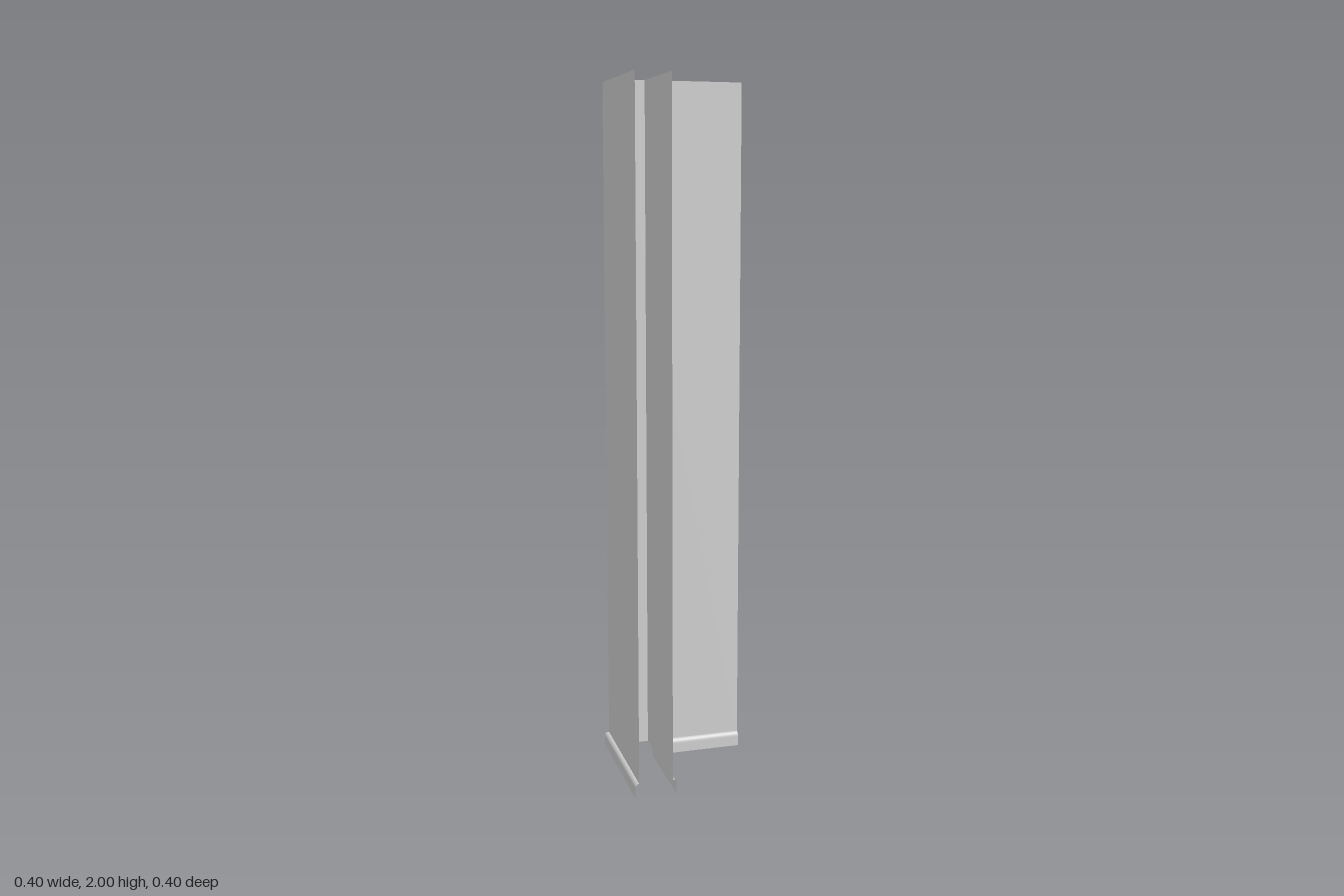
import * as THREE from 'three';

const END = 0.198;      // open ends of both wall runs
const OUTER = -0.187;   // outer wall plane
const INNER = -0.088;   // inner wall plane
const TOP = 2, TRIM = 0.043, DEPTH = 0.011;

const material = new THREE.MeshStandardMaterial({ color: 0xcccccc, side: THREE.DoubleSide });

// Thin upright sheet, facing -z or (alongZ) -x
function wall(name, plane, alongZ) {
  const length = END - OUTER, mid = (END + OUTER) / 2;
  const mesh = new THREE.Mesh(new THREE.PlaneGeometry(length, TOP - TRIM), material);
  mesh.name = name;
  mesh.position.set(alongZ ? plane : mid, (TOP + TRIM) / 2, alongZ ? mid : plane);
  mesh.rotation.y = alongZ ? -Math.PI / 2 : Math.PI;
  return mesh;
}

// Baseboard section: rounded top edge, then straight down to the floor
function trimProfile() {
  const points = [];
  for (let i = 0; i <= 8; i++) {
    const a = (i / 8) * Math.PI / 2;
    points.push([DEPTH * Math.sin(a), TRIM - 0.014 * (1 - Math.cos(a))]);
  }
  points.push([DEPTH, 0.014], [DEPTH, 0]);
  return points;
}

// One open baseboard run, mitred at the corner; side is the way it projects
function trim(name, plane, side, alongZ) {
  const positions = [], index = [];
  const profile = trimProfile();
  profile.forEach(([d, y], i) => {
    const face = plane + side * d;
    for (const along of [face, END]) {
      positions.push(...(alongZ ? [face, y, along] : [along, y, face]));
    }
    if (i === profile.length - 1) return;
    const a = 2 * i, b = a + 1, c = a + 2, e = a + 3;
    if ((side < 0) !== alongZ) index.push(a, b, c, b, e, c);
    else index.push(a, c, b, b, c, e);
  });
  const geometry = new THREE.BufferGeometry();
  geometry.setAttribute('position', new THREE.Float32BufferAttribute(positions, 3));
  geometry.setIndex(index);
  geometry.computeVertexNormals();
  const mesh = new THREE.Mesh(geometry, material);
  mesh.name = name;
  return mesh;
}

export function createModel() {
  const group = new THREE.Group();
  group.name = 'wallCorner';
  for (const alongZ of [false, true]) {
    const run = alongZ ? 'Side' : 'Back';
    // The inner sheets cross and carry on to the outer walls
    group.add(
      wall('outerWall' + run, OUTER, alongZ),
      wall('innerWall' + run, INNER, alongZ),
      trim('outerBaseboard' + run, OUTER, -1, alongZ),
      trim('innerBaseboard' + run, INNER, 1, alongZ)
    );
  }
  return group;
}
